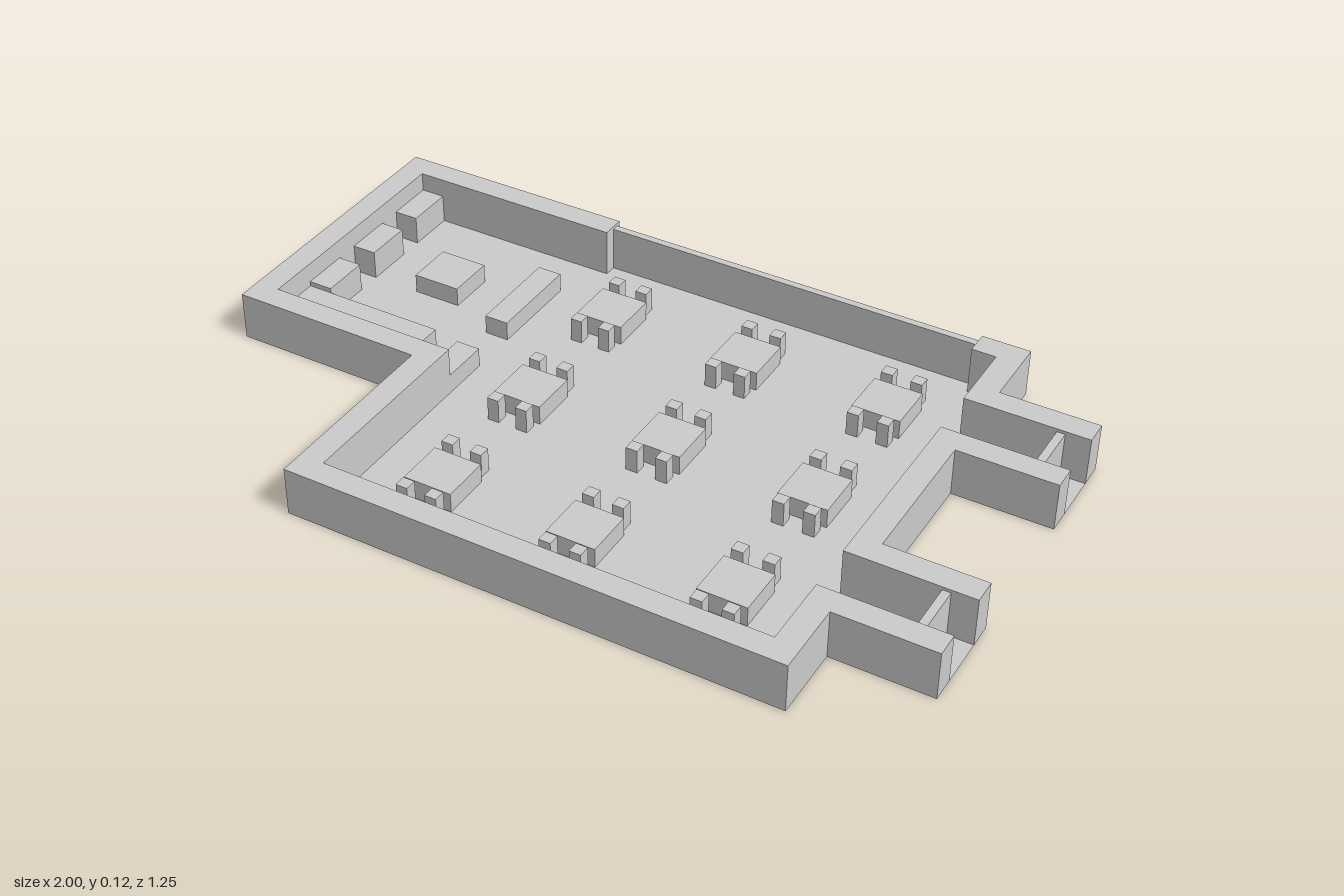
import * as THREE from 'three';

const material = new THREE.MeshStandardMaterial({ color: 0xcccccc, flatShading: true, side: THREE.DoubleSide });
const WALL_H = 0.125;

// Plan outlines are lists of [x, z]; the shape is laid flat afterwards.
const toPoints = (pts) => pts.map(([x, z]) => new THREE.Vector2(x, -z));
const rect = (x0, x1, z0, z1) => [[x0, z0], [x1, z0], [x1, z1], [x0, z1]];

// Extrude a plan outline upward from the floor, leaving the underside open.
function raise(pts, height) {
  const g = new THREE.ExtrudeGeometry(new THREE.Shape(toPoints(pts)), { depth: height, bevelEnabled: false });
  g.rotateX(-Math.PI / 2);
  const p = g.attributes.position;
  const kept = [];
  for (let i = 0; i < p.count; i += 3) {
    if (Math.max(p.getY(i), p.getY(i + 1), p.getY(i + 2)) < 1e-4) continue;
    for (let k = i; k < i + 3; k++) kept.push(p.getX(k), p.getY(k), p.getZ(k));
  }
  const out = new THREE.BufferGeometry();
  out.setAttribute('position', new THREE.Float32BufferAttribute(kept, 3));
  out.computeVertexNormals();
  return out;
}

export function createModel() {
  const model = new THREE.Group();
  const add = (name, geometry, parent = model) => {
    const mesh = new THREE.Mesh(geometry, material);
    mesh.name = name;
    parent.add(mesh);
    return mesh;
  };
  const box = (name, [x0, x1, z0, z1], h, parent = model) => {
    const g = new THREE.BoxGeometry(x1 - x0, h, z1 - z0);
    g.translate((x0 + x1) / 2, h / 2, (z0 + z1) / 2);
    return add(name, g, parent);
  };

  // Walls: north-east corner, stretch between the porches, and the long run
  add('cornerWall', raise([
    [0.625, -0.625], [0.75, -0.625], [0.75, -0.4375], [1, -0.4375],
    [1, -0.375], [0.6875, -0.375], [0.6875, -0.5625], [0.625, -0.5625],
  ], WALL_H));
  add('porchWall', raise([
    [1, -0.25], [1, -0.1875], [0.75, -0.1875], [0.75, 0.1875],
    [1, 0.1875], [1, 0.25], [0.6875, 0.25], [0.6875, -0.25],
  ], WALL_H));
  add('mainWall', raise([
    [1, 0.375], [1, 0.4375], [0.75, 0.4375], [0.75, 0.625], [-0.5, 0.625], [-0.5, 0.125],
    [-1, 0.125], [-1, -0.625], [-0.375, -0.625], [-0.375, -0.5625], [-0.9375, -0.5625],
    [-0.9375, 0.0625], [-0.4375, 0.0625], [-0.4375, 0.5625], [0.6875, 0.5625], [0.6875, 0.375],
  ], WALL_H));

  // Floor, with openings under the hollow tables and counters
  const floor = new THREE.Shape(toPoints([
    [-0.9375, -0.5625], [-0.375, -0.5625], [-0.375, -0.625], [0.625, -0.625], [0.625, -0.5625],
    [0.6875, -0.5625], [0.6875, -0.375], [1, -0.375], [1, -0.25], [0.6875, -0.25],
    [0.6875, 0.25], [1, 0.25], [1, 0.375], [0.6875, 0.375], [0.6875, 0.5625],
    [-0.4375, 0.5625], [-0.4375, 0.0625], [-0.9375, 0.0625],
  ]));
  const hollow = (name, bounds, h, parent = model) => {
    const pts = rect(...bounds);
    // the stub counter touches the wall, so its opening stops just short of it
    const hole = rect(bounds[0], bounds[1] - 0.001, bounds[2], bounds[3] - 0.001);
    floor.holes.push(new THREE.Path(toPoints(hole)));
    return add(name, raise(pts, h), parent);
  };

  // Dining tables with four stools each
  for (const x of [-0.25, 0.125, 0.5]) {
    for (const z of [-0.375, 0, 0.375]) {
      const set = new THREE.Group();
      set.name = 'diningSet';
      model.add(set);
      hollow('table', [x - 0.0625, x + 0.0625, z - 0.0625, z + 0.0625], 0.05, set);
      for (const sx of [-1, 1]) {
        for (const sz of [-1, 1]) {
          const cx = x + sx * 0.0385, cz = z + sz * 0.0915;
          box('stool', [cx - 0.015, cx + 0.015, cz - 0.015, cz + 0.015], 0.0625, set);
        }
      }
    }
  }

  // Serving counters between kitchen and dining room
  hollow('servingCounter', [-0.5, -0.4375, -0.4375, -0.1875], 0.05);
  hollow('stubCounter', [-0.5, -0.4375, -0.0625, 0.0625], 0.05);

  // Kitchen units and island
  for (const z of [-0.5625, -0.375, -0.1875]) {
    box('kitchenUnit', [-0.9375, -0.875, z, z + 0.125], 0.075);
  }
  box('kitchenIsland', [-0.75, -0.625, -0.375, -0.25], 0.05);
  box('longWorktop', [-0.9375, -0.6875, -0.0625, 0.0625], 0.0625);
  box('shortWorktop', [-0.6875, -0.5625, -0.0625, 0.0625], 0.0625);

  // Thin window panel in the back wall, and a door in each porch
  box('windowPanel', [-0.375, 0.625, -0.614, -0.595], 0.117);
  for (const z of [-0.375, 0.25]) box('porchDoor', [0.917, 0.9375, z, z + 0.125], 0.117);

  const floorGeometry = new THREE.ShapeGeometry(floor);
  floorGeometry.rotateX(-Math.PI / 2);
  add('floor', floorGeometry);
  return model;
}
